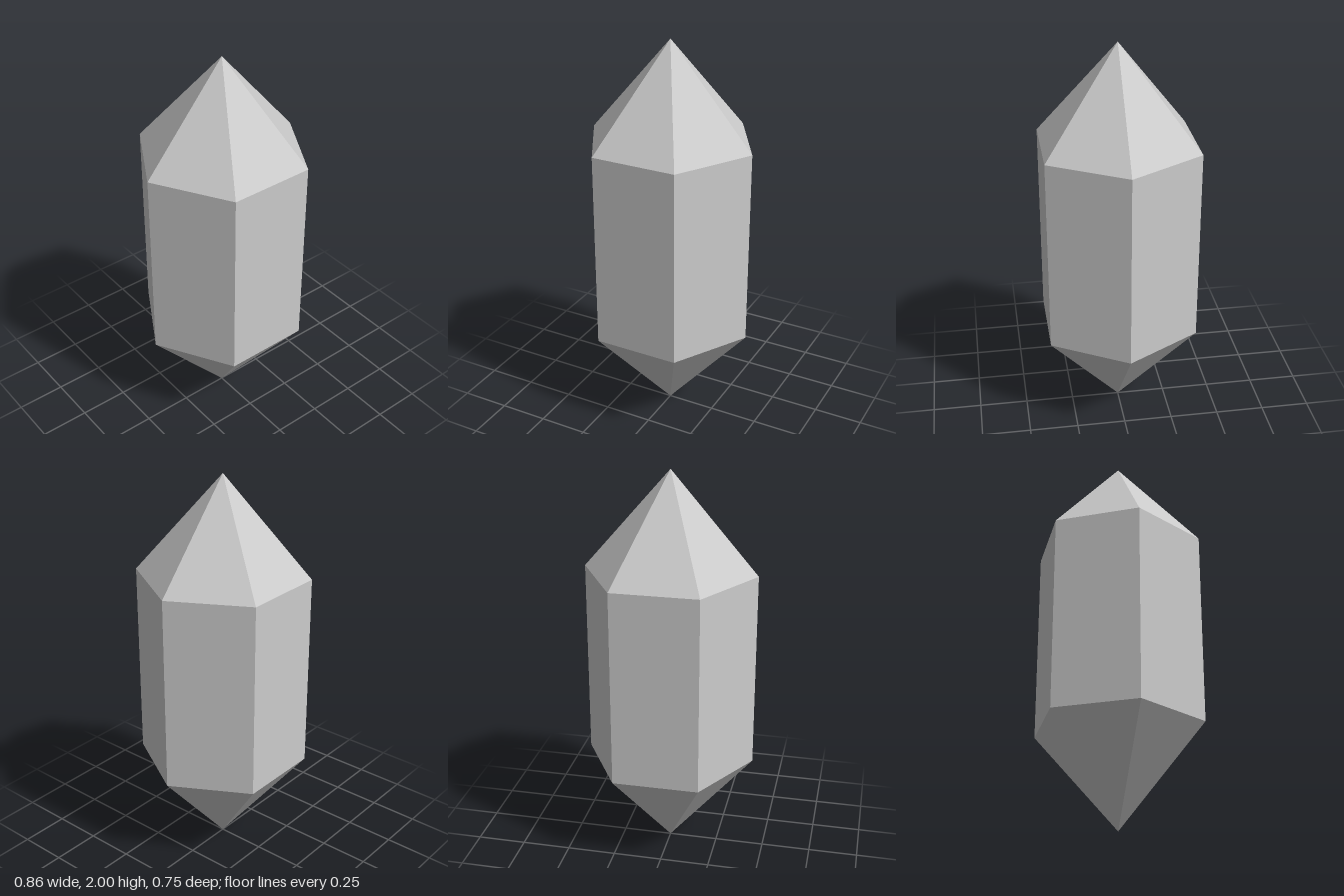
import * as THREE from 'three';

const SIDES = 6;
const RADIUS = 0.432;

export function createModel() {
  const crystal = new THREE.Group();
  crystal.name = 'crystal';
  const material = new THREE.MeshStandardMaterial({ color: 0xcccccc, flatShading: true });

  // Open six-sided section between two heights, with corners on the x axis
  function addSection(name, bottomY, topY, bottomRadius, topRadius) {
    const geometry = new THREE.CylinderGeometry(
      topRadius, bottomRadius, topY - bottomY, SIDES, 1, true, Math.PI / 2);
    const mesh = new THREE.Mesh(geometry, material);
    mesh.name = name;
    mesh.position.y = (bottomY + topY) / 2;
    crystal.add(mesh);
  }

  addSection('lowerPoint', 0, 0.5, 0, RADIUS);
  addSection('shaft', 0.5, 1.5, RADIUS, RADIUS);
  addSection('upperPoint', 1.5, 2, RADIUS, 0);

  return crystal;
}
